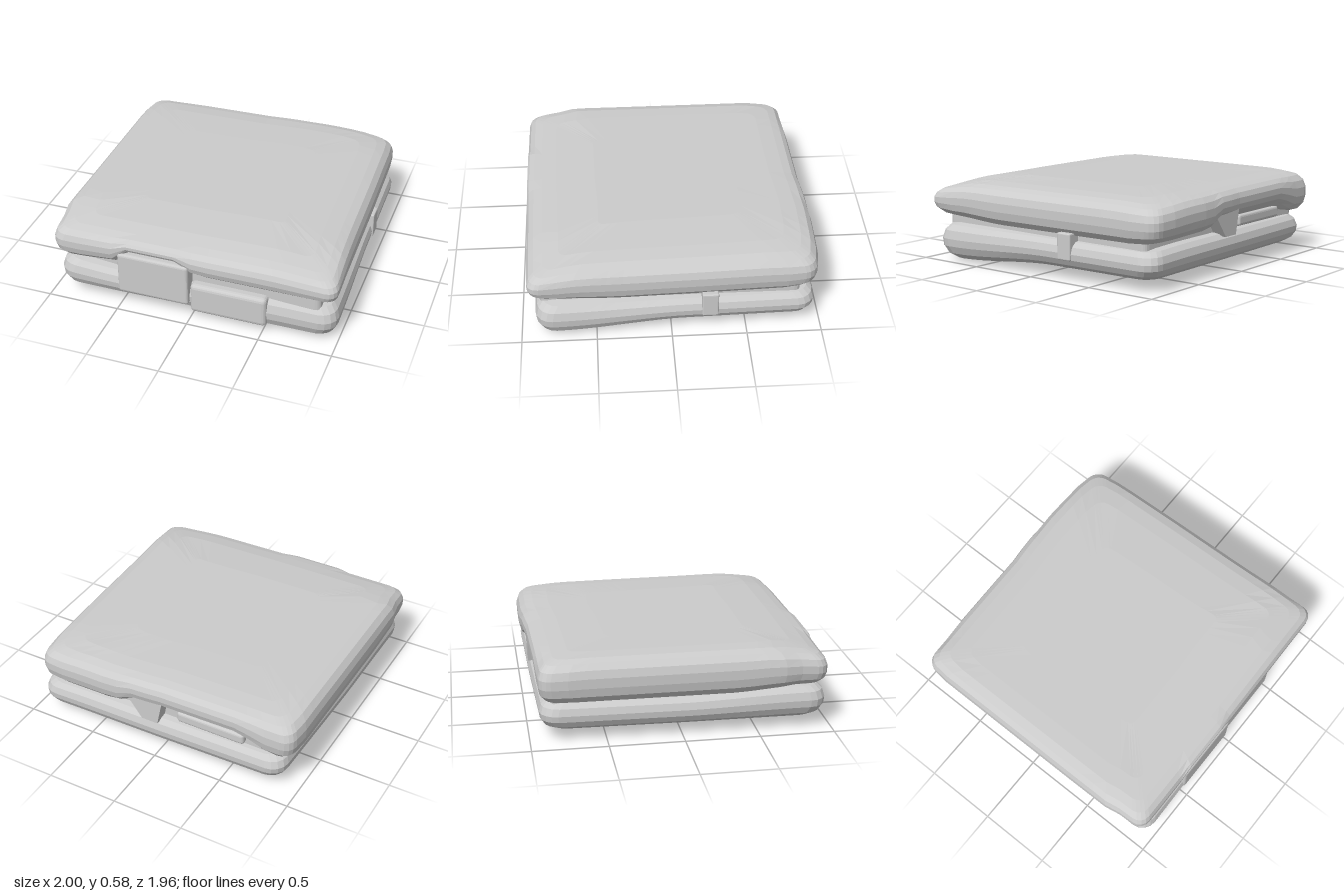
import * as THREE from 'three';
import { RoundedBoxGeometry } from 'three/addons/geometries/RoundedBoxGeometry.js';

const { lerp, smoothstep } = THREE.MathUtils;
const material = new THREE.MeshStandardMaterial({ color: 0xcccccc, flatShading: true, side: THREE.DoubleSide });

// Piecewise-linear curve through [position, value] stops
function curve(stops) {
  return (p) => {
    if (p <= stops[0][0]) return stops[0][1];
    for (let i = 1; i < stops.length; i++) {
      const [a, va] = stops[i - 1], [b, vb] = stops[i];
      if (p <= b) return lerp(va, vb, (p - a) / (b - a));
    }
    return stops[stops.length - 1][1];
  };
}

// Rounded square outline with subdivided sides, in -1..1
function outline(radius, sideSteps, cornerSteps) {
  const pts = [];
  const c = 1 - radius;
  for (let k = 0; k < 4; k++) {
    const a0 = (k * Math.PI) / 2;
    const at = (along) => [Math.cos(a0) - Math.sin(a0) * along, Math.sin(a0) + Math.cos(a0) * along];
    for (let i = 0; i < sideSteps; i++) pts.push(at(lerp(-c, c, i / sideSteps)));
    const q = a0 + Math.PI / 4;
    const cx = Math.sign(Math.cos(q)) * c, cz = Math.sign(Math.sin(q)) * c;
    for (let i = 0; i < cornerSteps; i++) {
      const a = a0 + (i / cornerSteps) * (Math.PI / 2);
      pts.push([cx + Math.cos(a) * radius, cz + Math.sin(a) * radius]);
    }
  }
  return pts;
}

// Soft slab: outline rings follow the profile [inset, height], edges follow the shape's curves
function slab(shape) {
  const ring = outline(shape.radius, 16, 4);
  const n = ring.length;
  const pos = [], idx = [];
  shape.profile.forEach(([inset, t], level) => {
    ring.forEach(([u, v], i) => {
      const s = 1 - inset;
      const x = lerp(shape.left(v), shape.right(v), (u * s + 1) / 2);
      const z = lerp(shape.back(u), shape.front(u), (v * s + 1) / 2);
      pos.push(x, lerp(shape.bottom(x, z), shape.top(x, z), t), z);
      if (level + 1 === shape.profile.length) return;
      const a = level * n + i, b = level * n + ((i + 1) % n);
      idx.push(a, a + n, b, b, a + n, b + n);
    });
  });
  const geo = new THREE.BufferGeometry();
  geo.setAttribute('position', new THREE.Float32BufferAttribute(pos, 3));
  geo.setIndex(idx);
  geo.computeVertexNormals();
  return geo;
}

export function createModel() {
  const group = new THREE.Group();
  const add = (name, geo) => {
    const mesh = new THREE.Mesh(geo, material);
    mesh.name = name;
    group.add(mesh);
    return mesh;
  };
  const block = (name, x0, x1, y0, y1, z0, z1, r = 0.02) => {
    const mesh = add(name, new RoundedBoxGeometry(x1 - x0, y1 - y0, z1 - z0, 2, r));
    mesh.position.set((x0 + x1) / 2, (y0 + y1) / 2, (z0 + z1) / 2);
    return mesh;
  };

  // Upper fold, its lip lifted at the front flap and at the back opening
  const frontLip = curve([[-0.95, 0.32], [-0.82, 0.31], [-0.5, 0.34], [-0.46, 0.44], [-0.02, 0.44], [0.02, 0.35], [1, 0.34]]);
  const backLip = curve([[-0.8, 0.29], [-0.6, 0.38], [0.2, 0.38], [0.3, 0.32], [1, 0.3]]);
  add('upperFold', slab({
    radius: 0.08,
    left: curve([[-1, -0.98], [-0.8, -1], [0.7, -1], [0.8, -0.98], [1, -0.97]]),
    right: curve([[-1, 0.92], [-0.8, 0.94], [-0.2, 0.96], [0.4, 0.975], [1, 1]]),
    front: curve([[-1, 0.96], [0, 0.96], [1, 0.945]]),
    back: curve([[-1, -0.94], [0, -0.96], [0.1, -0.97], [0.45, -0.99], [0.8, -0.985], [1, -0.96]]),
    bottom: (x, z) => {
      const mid = 0.29 + 0.03 * smoothstep(z, 0.3, 0.8);
      return lerp(lerp(mid, backLip(x), smoothstep(-z, 0.78, 0.92)), frontLip(x), smoothstep(z, 0.78, 0.9));
    },
    top: (x, z) => 0.585 - 0.05 * smoothstep(z, 0.55, 1.0) - 0.02 * smoothstep(-z, 0.6, 1)
      - 0.03 * smoothstep(x, 0.5, 1),
    profile: [[1, 0], [0.3, 0], [0.1, 0], [0.045, 0.05], [0.012, 0.2], [0, 0.4], [0, 0.62], [0.015, 0.8], [0.05, 0.93], [0.11, 0.985], [0.22, 1], [0.5, 1], [1, 1]],
  }));

  // Lower fold, sagging at its front right corner
  add('lowerFold', slab({
    radius: 0.12,
    left: curve([[-1, -0.91], [0, -0.93], [1, -0.94]]),
    right: curve([[-1, 0.94], [0, 0.96], [0.6, 0.98], [1, 0.99]]),
    front: curve([[-1, 0.97], [-0.5, 0.96], [0, 0.93], [0.52, 0.92], [0.56, 0.91], [1, 0.9]]),
    back: curve([[-1, -0.93], [0, -0.95], [1, -0.96]]),
    bottom: (x, z) => 0.063 - 0.06 * smoothstep(z, -0.1, 0.75) * smoothstep(x, -0.6, 0.8),
    top: (x, z) => 0.275 + 0.03 * smoothstep(-x, 0.5, 0.9) * smoothstep(z, 0, 0.8) - 0.01 * smoothstep(x, 0.5, 1),
    profile: [[1, 0], [0.5, 0], [0.16, 0], [0.08, 0.06], [0.03, 0.2], [0.005, 0.4], [0, 0.6], [0.015, 0.82], [0.05, 0.96], [0.1, 1], [0.5, 1], [1, 1]],
  }));

  // Inner layer that closes the gap between the folds
  block('innerLayer', -0.86, 0.88, 0.18, 0.46, -0.86, 0.87, 0.04);

  // Flap and flat panel on the front
  block('frontFlap', -0.5, 0.0, 0.13, 0.435, 0.82, 0.965);
  block('frontPanel', 0.0, 0.53, 0.06, 0.28, 0.8, 0.935, 0.03);

  // Tab on the side seam
  block('sideTab', 0.85, 0.965, 0.14, 0.32, -0.31, -0.2, 0.01);

  // Tucked strip and hanging wedge in the back opening
  block('backStrip', -0.62, -0.12, 0.28, 0.36, -0.9, -0.7);
  const wedge = new THREE.Shape([[-0.04, 0.44], [0.0, 0.25], [0.12, 0.25], [0.26, 0.44]].map(([x, y]) => new THREE.Vector2(x, y)));
  const wedgeGeo = new THREE.ExtrudeGeometry(wedge, { depth: 0.16, bevelEnabled: false });
  add('backWedge', wedgeGeo).position.z = -0.95;

  return group;
}
